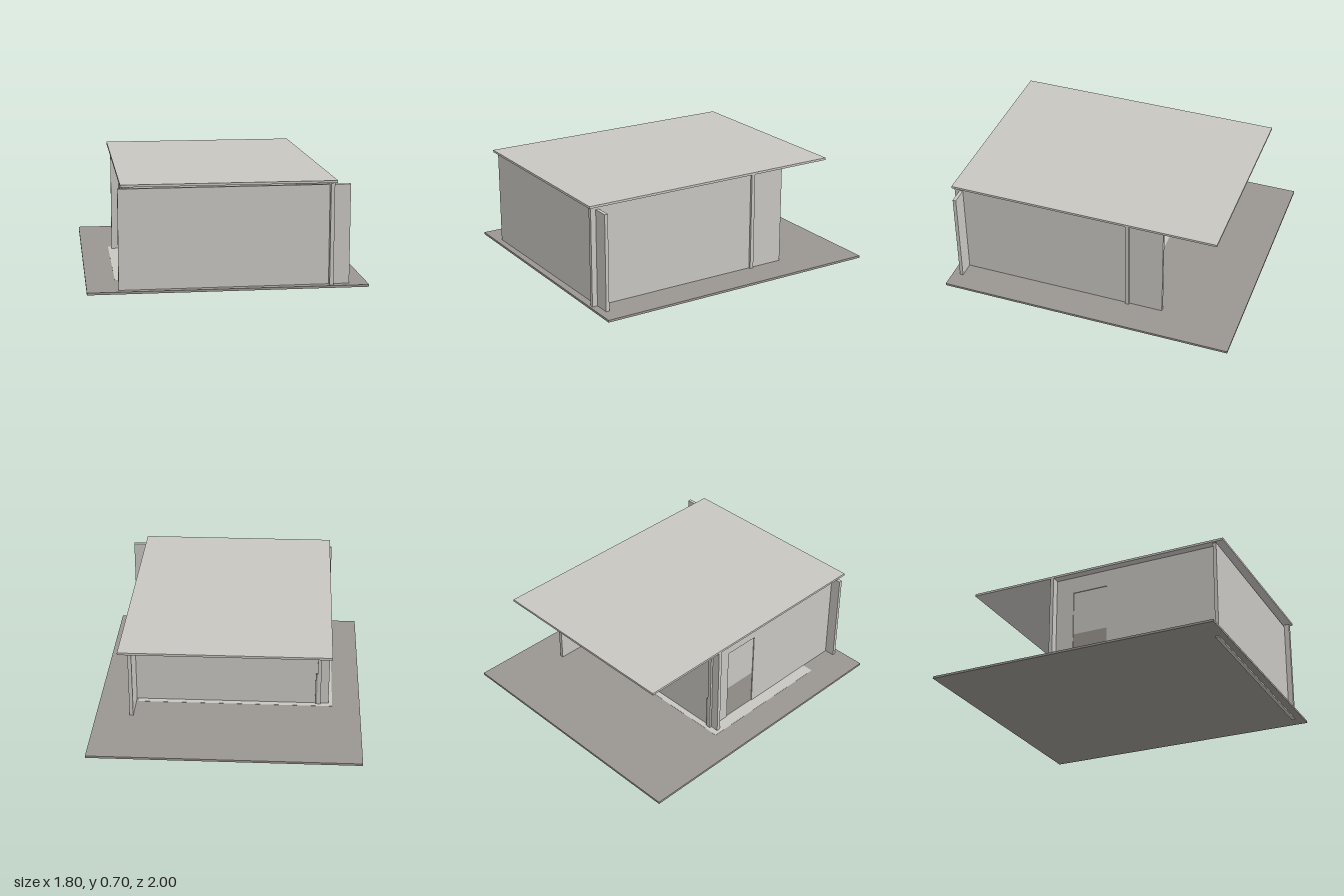
import * as THREE from 'three';

export function createModel() {
  const group = new THREE.Group();
  const concrete = new THREE.MeshStandardMaterial({ color: 0xc8c6c1 });
  concrete.name = 'pale concrete';
  const stone = new THREE.MeshStandardMaterial({ color: 0x9a9691 });
  stone.name = 'dark stone';

  // Box given by its lower and upper corners
  function slab(name, material, [x0, y0, z0], [x1, y1, z1]) {
    const mesh = new THREE.Mesh(new THREE.BoxGeometry(x1 - x0, y1 - y0, z1 - z0), material);
    mesh.position.set((x0 + x1) / 2, (y0 + y1) / 2, (z0 + z1) / 2);
    mesh.name = name;
    group.add(mesh);
    return mesh;
  }

  // Ground plate, floor and roof
  slab('groundPlate', stone, [-0.9, 0.01, -1], [0.9, 0.025, 1]);
  slab('floor', concrete, [-0.71, 0.012, -0.29], [0.63, 0.026, 0.69]);
  slab('roof', concrete, [-0.685, 0.69, -0.84], [0.685, 0.705, 1]);

  // Crossing walls; the front one stands very slightly askew
  const front = slab('frontWall', concrete, [-0.7, 0, 0.93], [0.78, 0.672, 0.953]);
  front.rotation.y = 0.006;
  slab('backWall', concrete, [-0.685, 0.02, -0.25], [0.685, 0.69, -0.225]);
  slab('rightWall', concrete, [0.645, 0.02, -0.48], [0.67, 0.685, 0.985]);

  // Side wall with a doorway, outlined in z and y
  const z0 = -0.265, z1 = 0.935, y0 = 0.02, y1 = 0.69;
  const outline = new THREE.Shape([[z0, y0], [-0.1, y0], [-0.1, 0.575], [0.147, 0.575],
    [0.147, y0], [z1, y0], [z1, y1], [z0, y1]].map(([z, y]) => new THREE.Vector2(-z, y)));
  const side = new THREE.Mesh(
    new THREE.ExtrudeGeometry(outline, { depth: 0.025, bevelEnabled: false }), concrete);
  side.name = 'doorWall';
  side.rotation.y = Math.PI / 2;
  side.position.x = -0.63;
  group.add(side);

  // Door leaf and the low stone panel lining the wall
  slab('doorLeaf', concrete, [-0.624, 0.27, -0.1], [-0.61, 0.575, 0.147]);
  slab('doorKickPanel', stone, [-0.624, 0.02, -0.1], [-0.61, 0.27, 0.147]);
  slab('lowPanel', stone, [-0.605, 0.02, -0.262], [-0.592, 0.26, 0.147]);

  return group;
}
